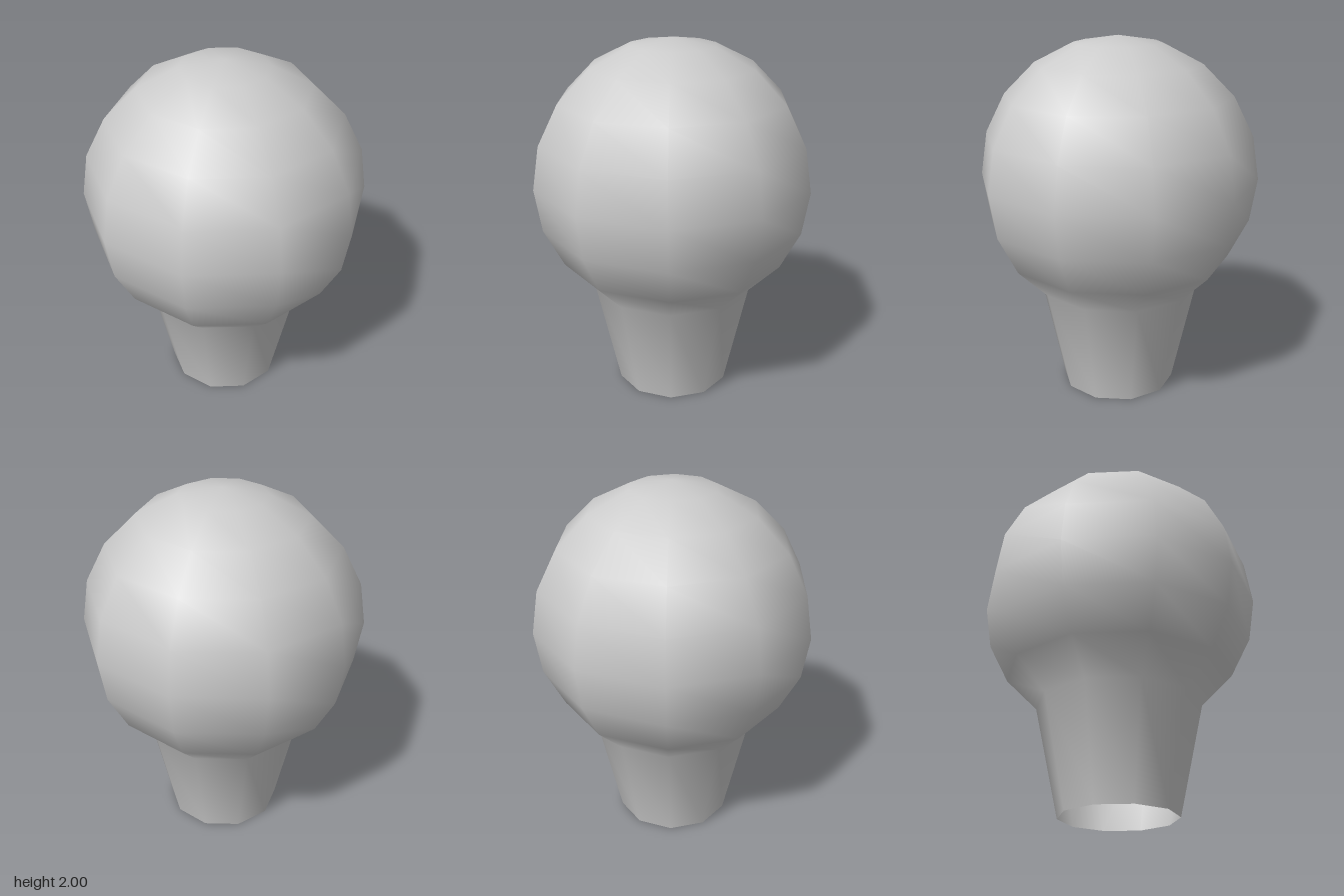
import * as THREE from 'three';
import { mergeVertices } from 'three/addons/utils/BufferGeometryUtils.js';

export function createModel() {
  const group = new THREE.Group();
  const sides = 10, radius = 0.771, centreY = 1.229, footRadius = 0.32;

  // Ball of 18 degree steps, left open below its last ring
  const ball = new THREE.SphereGeometry(radius, sides, 9, 0, Math.PI * 2, 0, Math.PI * 0.9);
  ball.translate(0, centreY, 0);

  // Pull the last ring down to the ground as the foot of the tapered neck
  const position = ball.attributes.position;
  for (let i = position.count - sides - 1; i < position.count; i++) {
    const x = position.getX(i), z = position.getZ(i);
    const scale = footRadius / Math.hypot(x, z);
    position.setXYZ(i, x * scale, 0, z * scale);
  }

  // Weld the seam and pole so the shading is smooth all round
  ball.deleteAttribute('uv');
  ball.deleteAttribute('normal');
  const geometry = mergeVertices(ball);
  geometry.computeVertexNormals();

  const material = new THREE.MeshStandardMaterial({ color: 0xcccccc, side: THREE.DoubleSide });
  const bulb = new THREE.Mesh(geometry, material);
  bulb.name = 'bulbWithNeck';
  group.add(bulb);
  return group;
}
